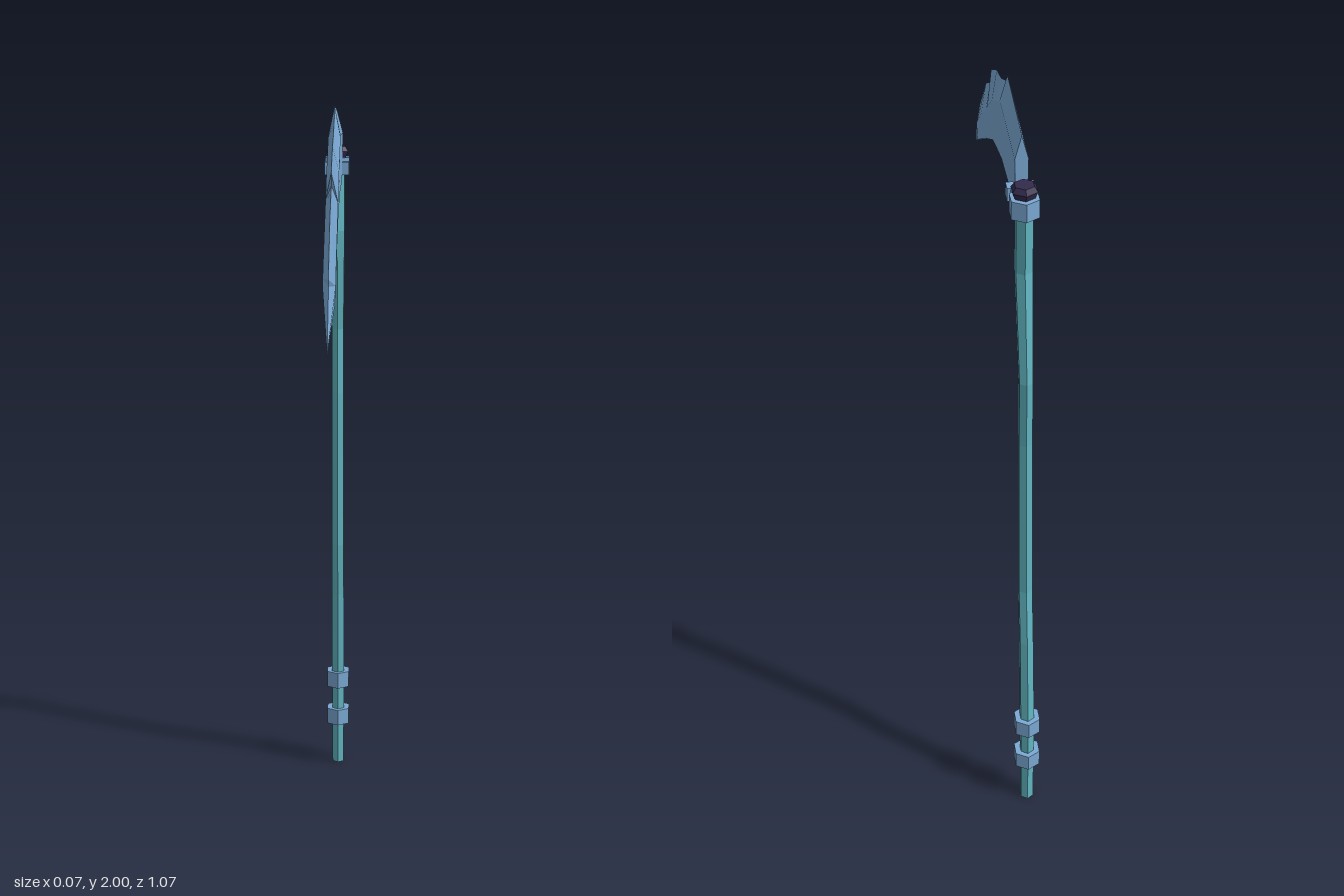
import * as THREE from 'three';

const mat = (name, color) => {
  const m = new THREE.MeshStandardMaterial({ color, flatShading: true });
  m.name = name;
  return m;
};

// Six-sided bar lofted through [y, z, radius] rows, listed top to bottom
function hexLoft(name, rows, material, widthScale = 0.92) {
  const n = rows.length - 1;
  const geo = new THREE.CylinderGeometry(1, 1, 1, 6, n);
  const p = geo.attributes.position;
  for (let i = 0; i < p.count; i++) {
    const [y, z, r] = rows[Math.round((0.5 - p.getY(i)) * n)];
    p.setXYZ(i, p.getX(i) * r * widthScale, y, z + p.getZ(i) * r);
  }
  geo.computeVertexNormals();
  const mesh = new THREE.Mesh(geo, material);
  mesh.name = name;
  return mesh;
}

// Blade: five-point sections (spine, two ridges, two lower corners) from base to tip
function bladeGeometry() {
  // spine z, y, ridge z, y, lower edge z, y
  const stations = [
    [-0.33, 1.97, -0.33, 1.91, -0.33, 1.783],
    [-0.093, 2.0, -0.09, 1.925, -0.093, 1.778],
    [-0.07, 1.974, -0.07, 1.92, -0.07, 1.773],
    [0.013, 1.937, 0, 1.885, 0, 1.757],
    [0.098, 1.916, 0.07, 1.85, 0.07, 1.74],
    [0.204, 1.863, 0.15, 1.79, 0.15, 1.697],
    [0.188, 1.83, 0.16, 1.783, 0.16, 1.692],
    [0.22, 1.82, 0.19, 1.76, 0.2, 1.672],
    [0.31, 1.77, 0.28, 1.7, 0.28, 1.626],
    [0.442, 1.64, 0.37, 1.63, 0.36, 1.58],
    [0.426, 1.62, 0.385, 1.615, 0.38, 1.568],
    [0.537, 1.478, 0.537, 1.478, 0.537, 1.478],
  ];
  const last = stations.length - 1;
  const rings = stations.map(([tz, ty, rz, ry, bz, by], i) => {
    const w = i === last ? 0 : 0.016;
    const b = w * 0.88;
    return [[0, ty, tz], [w, ry, rz], [b, by, bz], [-b, by, bz], [-w, ry, rz]];
  });
  const pos = [];
  const tri = (...pts) => pts.forEach((q) => pos.push(...q));
  for (let i = 0; i < last; i++) {
    for (let k = 0; k < 5; k++) {
      const j = (k + 1) % 5;
      const a = rings[i][k], b = rings[i][j], c = rings[i + 1][j], d = rings[i + 1][k];
      tri(c, b, a);
      if (i < last - 1) tri(c, a, d);
    }
  }
  // flat base end
  const e = rings[0];
  for (let k = 1; k < 4; k++) tri(e[0], e[k], e[k + 1]);
  const geo = new THREE.BufferGeometry();
  geo.setAttribute('position', new THREE.Float32BufferAttribute(pos, 3));
  geo.computeVertexNormals();
  return geo;
}

export function createModel() {
  const group = new THREE.Group();
  group.name = 'scythe';
  const steel = mat('blue steel', 0x7ba9d4);
  const teal = mat('teal shaft', 0x62b6c2);
  const dark = mat('dark violet', 0x322b4c);

  // Crooked shaft
  group.add(hexLoft('shaft', [
    [1.85, -0.373, 0.027], [1.64, -0.37, 0.027], [1.355, -0.42, 0.022],
    [1.17, -0.42, 0.022], [0.71, -0.442, 0.023], [0.55, -0.468, 0.023],
    [0.28, -0.495, 0.024], [0, -0.502, 0.022],
  ], teal, 0.86));

  // Grip rings near the foot
  for (const [y, z] of [[0.272, -0.495], [0.152, -0.498]]) {
    group.add(hexLoft('gripRing', [[y + 0.024, z, 0.037], [y - 0.024, z, 0.037]], steel, 1));
  }

  // Collar round the shaft head, and the clamp reaching to the blade
  group.add(hexLoft('collar', [[1.84, -0.377, 0.038], [1.793, -0.377, 0.038]], steel, 1));
  const arm = new THREE.Mesh(new THREE.BoxGeometry(0.05, 0.028, 0.04), steel);
  arm.name = 'clampArm';
  arm.position.set(0, 1.817, -0.345);
  group.add(arm);
  const clamp = new THREE.Mesh(new THREE.BoxGeometry(0.066, 0.034, 0.03), steel);
  clamp.name = 'bladeClamp';
  clamp.position.set(0, 1.817, -0.312);
  group.add(clamp);

  // Faceted end cap
  group.add(hexLoft('endCap', [
    [1.87, -0.374, 0.025], [1.857, -0.374, 0.034], [1.838, -0.374, 0.026],
  ], dark, 1));

  const blade = new THREE.Mesh(bladeGeometry(), steel);
  blade.name = 'blade';
  group.add(blade);
  return group;
}
